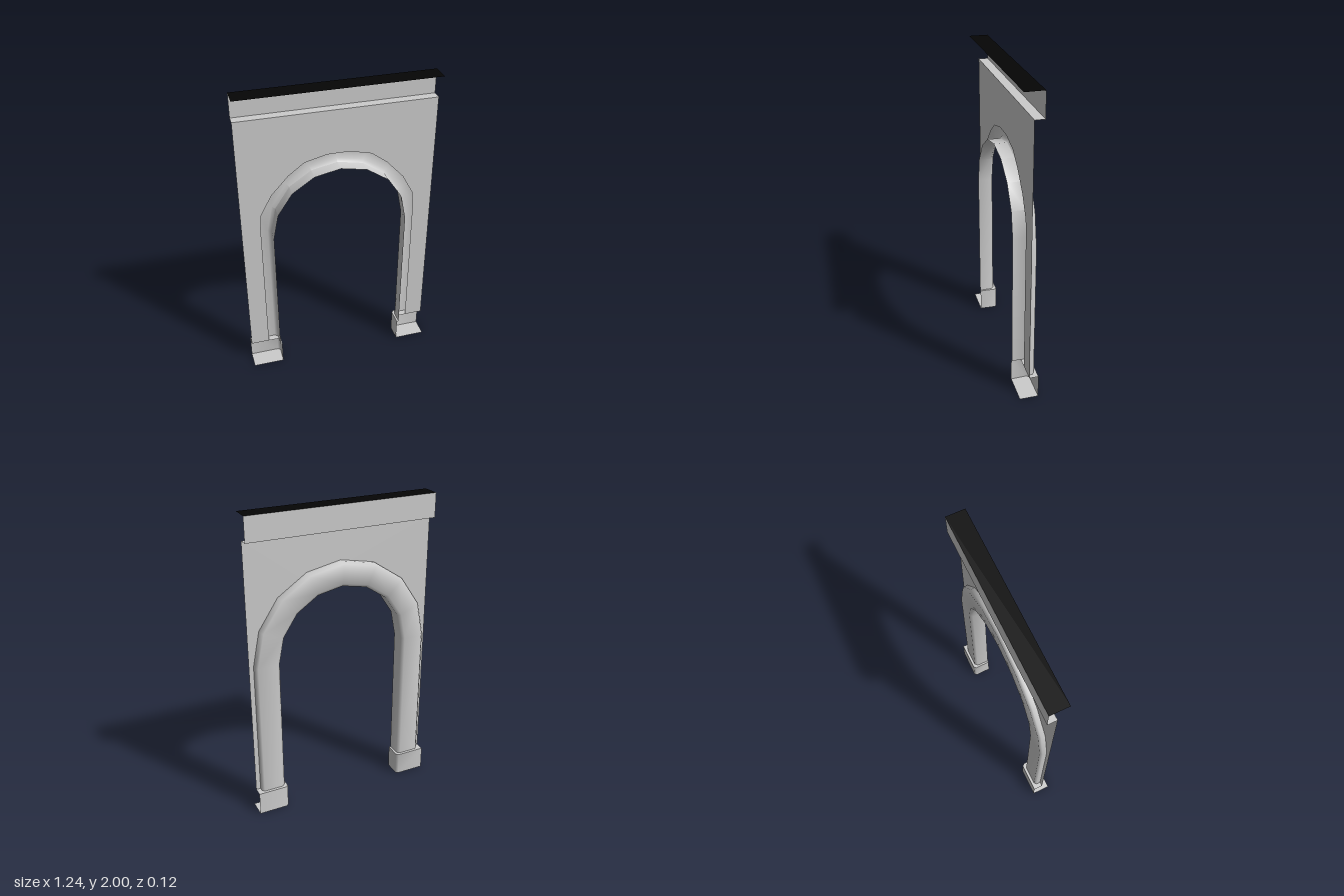
import * as THREE from 'three';
import { toCreasedNormals } from 'three/addons/utils/BufferGeometryUtils.js';

const W = 0.62, D = 0.06;               // half width, half depth
const BASE = 0.155, BAND = 1.845, TOP = 2, SPRING = 1.05;

const grey = new THREE.MeshStandardMaterial({ color: 0xcccccc, side: THREE.DoubleSide });
const black = new THREE.MeshStandardMaterial({ color: 0x050505, side: THREE.DoubleSide });

function part(name, geometry, material = grey) {
  const mesh = new THREE.Mesh(geometry, material);
  mesh.name = name;
  return mesh;
}

// Surface through rows of [x, y, z] points, smooth over shallow bends only
function loft(rows) {
  const n = rows[0].length, index = [];
  for (let i = 0; i < rows.length - 1; i++) {
    for (let j = 0; j < n - 1; j++) {
      const a = i * n + j, b = a + n;
      index.push(a, b, a + 1, b, b + 1, a + 1);
    }
  }
  const g = new THREE.BufferGeometry();
  g.setAttribute('position', new THREE.Float32BufferAttribute(rows.flat(2), 3));
  g.setIndex(index);
  return toCreasedNormals(g, 0.9);
}

const flat = (points) =>
  new THREE.ShapeGeometry(new THREE.Shape(points.map(([x, y]) => new THREE.Vector2(x, y))));

// Horizontal sheet from [x, z] points, facing up or down
function sheet(points, y, up) {
  const g = flat(points.map(([x, z]) => [x, up ? -z : z]));
  return g.rotateX(up ? -Math.PI / 2 : Math.PI / 2).translate(0, y, 0);
}

const rectangle = (x0, x1, z0, z1) => [[x0, z0], [x1, z0], [x1, z1], [x0, z1]];

// Moulded surround: a profile of [radius, z] swept up one leg, over and down
function archTrim() {
  const profile = [[0.59, 0], [0.59, -0.027], [0.575, -0.042], [0.45, -0.042], [0.43, -0.025], [0.43, D]];
  const station = (angle, y) =>
    profile.map(([r, z]) => [-r * Math.cos(angle), y + (r + 0.005) * Math.sin(angle), z]);
  const rows = [station(0, BASE)];
  for (let i = 0; i <= 8; i++) rows.push(station(i * Math.PI / 8, SPRING));
  rows.push(station(Math.PI, BASE));
  return part('archTrim', loft(rows));
}

// Wall sheet with the arched opening hidden behind the trim
function wall() {
  const half = [[0.5, BASE], [0.5, 1.1], [0.49, 1.2], [0.42, 1.33], [0.31, 1.45], [0.21, 1.525], [0.07, 1.56]];
  const mirrored = half.map(([x, y]) => [-x, y]).reverse();
  const outline = [[-W, BASE], [-W, BAND], [W, BAND], [W, BASE], ...half, ...mirrored];
  return part('wall', flat(outline).rotateY(Math.PI));
}

// Plinth block under one leg, open on the outer and front sides
function plinth(s) {
  const group = new THREE.Group();
  group.name = s > 0 ? 'leftPlinth' : 'rightPlinth';
  const plan = [[W, -D], [0.43, -D], [0.415, -0.045], [0.418, D]].map(([x, z]) => [s * x, z]);
  const path = s > 0 ? [...plan].reverse() : plan;
  const side = loft([0, BASE].map((y) => path.map(([x, z]) => [x, y, z])));
  const ledge = [...plan, [s * 0.43, D], [s * 0.43, 0], [s * W, 0]];
  group.add(
    part('plinthSides', side),
    part('plinthBottom', sheet([...plan, [s * W, D]], 0, false)),
    part('plinthLedge', sheet(ledge, BASE, true)),
  );
  return group;
}

export function createModel() {
  const model = new THREE.Group();
  model.name = 'archway';
  model.add(wall(), archTrim(), plinth(1), plinth(-1));

  // Projecting band along the top, with its soffit and cap
  const band = flat([[-W, BAND], [W, BAND], [W, TOP], [-W, TOP]]).rotateY(Math.PI).translate(0, 0, -D);
  model.add(
    part('topBand', band),
    part('bandSoffit', sheet(rectangle(-W, W, -D, 0), BAND, false)),
    part('topCap', sheet(rectangle(-W, W, -D, D), TOP, true), black),
  );
  return model;
}
